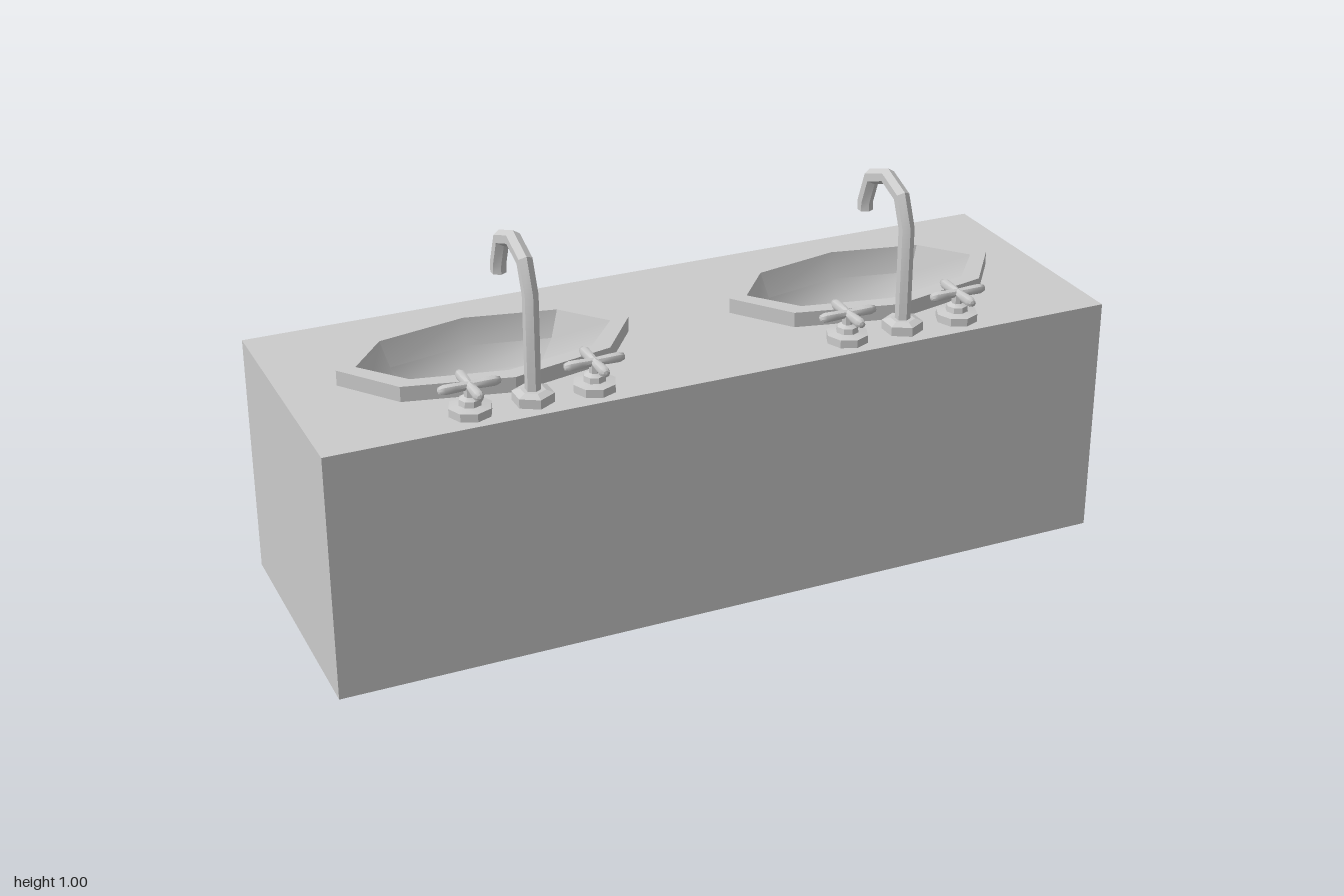
import * as THREE from 'three';
import { toCreasedNormals } from 'three/addons/utils/BufferGeometryUtils.js';

const material = new THREE.MeshStandardMaterial({ color: 0xcccccc });
const TOP = 0.62, DEPTH = 0.668;

function addMesh(parent, name, geometry, x = 0, y = 0, z = 0) {
  const mesh = new THREE.Mesh(geometry, material);
  mesh.name = name;
  mesh.position.set(x, y, z);
  parent.add(mesh);
  return mesh;
}

// Skin closed rings of equal point count
function loft(rings, crease) {
  const pos = [];
  const n = rings[0].length;
  for (let i = 0; i < rings.length - 1; i++) {
    for (let j = 0; j < n; j++) {
      const k = (j + 1) % n;
      const a = rings[i][j], b = rings[i][k], c = rings[i + 1][k], d = rings[i + 1][j];
      for (const p of [a, b, c, a, c, d]) pos.push(p.x, p.y, p.z);
    }
  }
  const g = new THREE.BufferGeometry();
  g.setAttribute('position', new THREE.Float32BufferAttribute(pos, 3));
  return toCreasedNormals(g, crease);
}

function ellipseRing(rx, rz, y, sides = 8) {
  return Array.from({ length: sides }, (_, j) => {
    const a = (j / sides) * Math.PI * 2;
    return new THREE.Vector3(rx * Math.sin(a), y, rz * Math.cos(a));
  });
}

// Mitred hexagonal pipe along a path of [z, y] points
function pipe(path, radius) {
  const pts = path.map(([z, y]) => new THREE.Vector3(0, y, z));
  const X = new THREE.Vector3(1, 0, 0);
  const rings = pts.map((p, i) => {
    const dirIn = p.clone().sub(pts[Math.max(i - 1, 0)]).normalize();
    const dirOut = pts[Math.min(i + 1, pts.length - 1)].clone().sub(p).normalize();
    const t = dirIn.clone().add(dirOut).normalize();
    const miter = 1 / Math.max(t.dot(dirIn), t.dot(dirOut));
    const n = X.clone().cross(t);
    return Array.from({ length: 6 }, (_, j) => {
      const a = (j / 6) * Math.PI * 2;
      return p.clone().addScaledVector(n, radius * miter * Math.cos(a))
        .addScaledVector(X, radius * Math.sin(a));
    });
  });
  rings.push(rings[0].map(() => pts[pts.length - 1].clone()));
  return loft(rings, 0.6);
}

function lathe(points, sides, crease) {
  const g = new THREE.LatheGeometry(points.map(([r, y]) => new THREE.Vector2(r, y)), sides);
  return toCreasedNormals(g, crease);
}

// Counter block with its top cut out for the basins
function addCounter(group) {
  const box = new THREE.BoxGeometry(2, TOP, DEPTH);
  const index = Array.from(box.index.array);
  index.splice(12, 6);
  box.setIndex(index);
  box.clearGroups();
  addMesh(group, 'cabinet', box, 0, TOP / 2, 0);

  const h = DEPTH / 2;
  const shape = new THREE.Shape([[-1, -h], [1, -h], [1, h], [-1, h]].map(p => new THREE.Vector2(...p)));
  for (const x of [-0.5, 0.5]) {
    shape.holes.push(new THREE.Path(ellipseRing(0.34, 0.18, 0)
      .map(p => new THREE.Vector2(p.x + x, p.z))));
  }
  addMesh(group, 'counterTop', new THREE.ShapeGeometry(shape).rotateX(-Math.PI / 2), 0, TOP, 0);
}

// Octagonal rim and sunken bowl
function addSink(group, x) {
  const sink = new THREE.Group();
  sink.name = 'sink';
  sink.position.x = x;
  const rim = [[0.365, 0.202, TOP], [0.365, 0.202, 0.658], [0.318, 0.16, 0.658]];
  const bowl = [[0.318, 0.16, 0.658], [0.29, 0.145, 0.59], [0.235, 0.115, 0.535],
    [0.15, 0.073, 0.5], [0, 0, 0.495]];
  addMesh(sink, 'sinkRim', loft(rim.map(r => ellipseRing(...r)), 0.3));
  addMesh(sink, 'sinkBowl', loft(bowl.map(r => ellipseRing(...r)), 0.65));
  group.add(sink);
}

// Cross handle on a stepped base
function addHandle(parent, x) {
  const handle = new THREE.Group();
  handle.name = 'tapHandle';
  handle.position.x = x;
  addMesh(handle, 'handleStem', lathe([[0.052, 0], [0.052, 0.02], [0.028, 0.024],
    [0.026, 0.038], [0.014, 0.044], [0.014, 0.07], [0, 0.072]], 8, 0.6));
  const arm = lathe([[0, -0.076], [0.008, -0.073], [0.0125, -0.06], [0.012, -0.035], [0.01, 0],
    [0.012, 0.035], [0.0125, 0.06], [0.008, 0.073], [0, 0.076]], 8, 1.2);
  addMesh(handle, 'handleArmAcross', arm, 0, 0.069, 0).rotation.z = Math.PI / 2;
  addMesh(handle, 'handleArmAlong', arm, 0, 0.069, 0).rotation.x = Math.PI / 2;
  parent.add(handle);
}

// Gooseneck spout with a handle on each side
function addFaucet(group, x) {
  const faucet = new THREE.Group();
  faucet.name = 'faucet';
  faucet.position.set(x, TOP, 0.26);
  addMesh(faucet, 'spoutBase', lathe([[0.05, 0], [0.05, 0.023], [0.03, 0.03], [0, 0.03]], 6, 0.2));
  const path = [[0, 0], [0, 0.262], [-0.03, 0.333], [-0.1, 0.36],
    [-0.177, 0.333], [-0.205, 0.262], [-0.205, 0.238]];
  addMesh(faucet, 'spout', pipe(path, 0.019));
  for (const side of [-1, 1]) addHandle(faucet, side * 0.151);
  group.add(faucet);
}

export function createModel() {
  const group = new THREE.Group();
  group.name = 'doubleVanity';
  addCounter(group);
  for (const x of [-0.5, 0.5]) addSink(group, x);
  for (const x of [-0.481, 0.475]) addFaucet(group, x);
  return group;
}
